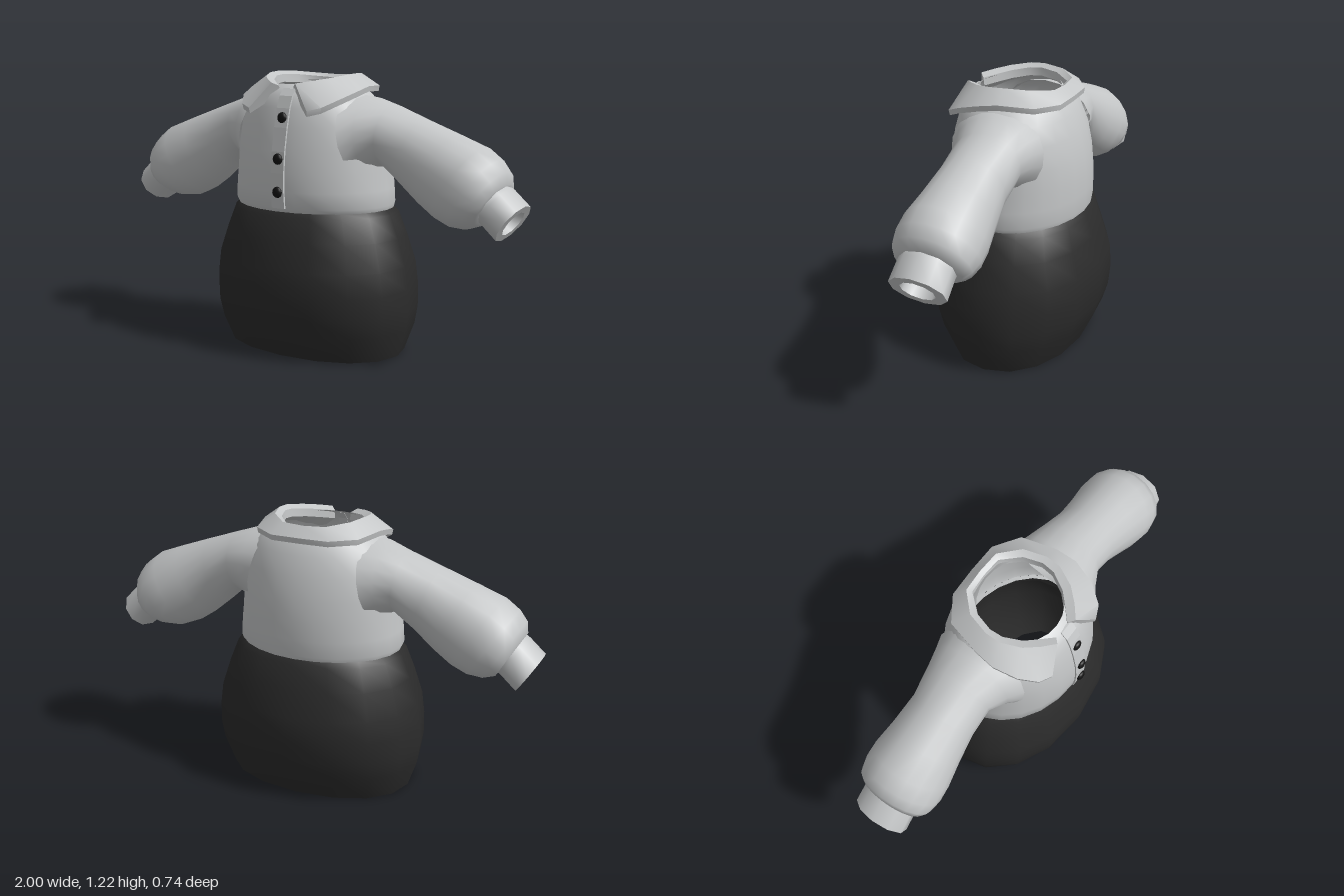
import * as THREE from 'three';
import { toCreasedNormals } from 'three/addons/utils/BufferGeometryUtils.js';

const V = (x, y, z) => new THREE.Vector3(x, y, z);

// Skin a list of closed rings; flip reverses the facing
function loft(rings, flip = false, crease = 0) {
  const n = rings[0].length, pos = [], idx = [];
  rings.forEach(r => r.forEach(p => pos.push(p.x, p.y, p.z)));
  for (let i = 0; i < rings.length - 1; i++) {
    for (let j = 0; j < n; j++) {
      const a = i * n + j, b = i * n + (j + 1) % n, c = a + n, d = b + n;
      if (flip) idx.push(a, c, b, b, c, d);
      else idx.push(a, b, c, b, d, c);
    }
  }
  const g = new THREE.BufferGeometry();
  g.setAttribute('position', new THREE.Float32BufferAttribute(pos, 3));
  g.setIndex(idx);
  g.computeVertexNormals();
  return crease ? toCreasedNormals(g, crease) : g;
}

// Horizontal oval ring with separate front and back depth
function oval(y, rx, front, back, n, power = 2) {
  const pts = [];
  for (let j = 0; j < n; j++) {
    const t = j / n * Math.PI * 2, s = Math.sin(t), c = Math.cos(t);
    const e = 2 / power;
    pts.push(V(Math.sign(s) * Math.abs(s) ** e * rx, y,
      Math.sign(c) * Math.abs(c) ** e * (c > 0 ? front : back)));
  }
  return pts;
}

// Sleeve ring spanning a top point and a bottom point, with half depth hz
function band([tx, ty, bx, by, hz, cz = -0.005], side, n) {
  const pts = [];
  for (let j = 0; j < n; j++) {
    const t = j / n * Math.PI * 2, k = Math.cos(t) / 2;
    pts.push(V(side * ((tx + bx) / 2 + (tx - bx) * k),
      (ty + by) / 2 + (ty - by) * k, cz + hz * Math.sin(t)));
  }
  return pts;
}

export function createModel() {
  const group = new THREE.Group();
  const make = (name, color) => {
    const m = new THREE.MeshStandardMaterial({ color, side: THREE.DoubleSide });
    m.name = name;
    return m;
  };
  const blouseCloth = make('blouse cloth', 0xc4c6c7);
  const skirtCloth = make('skirt cloth', 0x2b2b2b);
  const buttonBlack = make('button black', 0x121212);
  const add = (name, geo, mat) => {
    const m = new THREE.Mesh(geo, mat);
    m.name = name;
    group.add(m);
    return m;
  };

  // Barrel skirt: inner wall down, flat hem, outer wall up
  add('skirt', loft([
    [0.63, 0.34, 0.265], [0.35, 0.41, 0.31], [0.12, 0.38, 0.25], [0, 0.35, 0.205],
    [0, 0.43, 0.278], [0.12, 0.47, 0.335], [0.2, 0.48, 0.36], [0.3, 0.477, 0.371],
    [0.4, 0.463, 0.367], [0.52, 0.425, 0.328], [0.62, 0.385, 0.298], [0.643, 0.362, 0.28],
  ].map(([y, rx, rz]) => oval(y, rx, rz, rz, 16, 2.15)), false, 0.75), skirtCloth);

  // Bodice: hem lip, chest, shoulders, neck opening
  const bodice = [
    [0.645, 0.35, 0.275, 0.265], [0.642, 0.37, 0.298, 0.284], [0.66, 0.376, 0.31, 0.288],
    [0.73, 0.37, 0.316, 0.29], [0.81, 0.36, 0.316, 0.289], [0.9, 0.355, 0.308, 0.28],
    [1.0, 0.343, 0.29, 0.258], [1.08, 0.31, 0.27, 0.228], [1.13, 0.26, 0.25, 0.2],
    [1.16, 0.21, 0.222, 0.172], [1.175, 0.18, 0.195, 0.152],
  ];
  add('bodice', loft(bodice.map(([y, rx, f, b]) => oval(y, rx, f, b, 24)), false, 0.9), blouseCloth);

  // Button placket: thin strip following the chest
  const placket = new THREE.Shape();
  const front = bodice.slice(2, -1);
  front.forEach(([y, , f], i) => i ? placket.lineTo(-f - 0.005, y) : placket.moveTo(-f - 0.005, y));
  [...front].reverse().forEach(([y, , f]) => placket.lineTo(-f + 0.004, y));
  const strip = new THREE.ExtrudeGeometry(placket, { depth: 0.065, bevelEnabled: false });
  strip.rotateY(Math.PI / 2);
  add('placket', strip, blouseCloth).position.x = -0.01;

  // Buttons
  [[1.04, 0.284], [0.87, 0.318], [0.73, 0.323]].forEach(([y, z]) => {
    const b = add('button', new THREE.SphereGeometry(0.024, 12, 8), buttonBlack);
    b.scale.z = 0.6;
    b.position.set(0.025, y, z);
  });

  // Puffed sleeves and cuffs, mirrored
  const sleeve = [
    [0.22, 1.135, 0.29, 0.78, 0.215, 0.01], [0.3, 1.122, 0.32, 0.81, 0.185, 0],
    [0.4, 1.09, 0.37, 0.835, 0.155, -0.01], [0.55, 1.038, 0.45, 0.765, 0.146],
    [0.7, 0.985, 0.54, 0.69, 0.16], [0.82, 0.94, 0.62, 0.636, 0.177],
    [0.88, 0.895, 0.69, 0.607, 0.18], [0.913, 0.85, 0.76, 0.603, 0.17],
    [0.918, 0.8, 0.815, 0.622, 0.145], [0.905, 0.775, 0.835, 0.655, 0.1],
  ];
  const cuff = [
    [0.905, 0.8, 0.81, 0.645, 0.122], [0.93, 0.785, 0.835, 0.628, 0.122],
    [1.0, 0.722, 0.9, 0.57, 0.124], [0.982, 0.695, 0.918, 0.597, 0.076],
    [0.92, 0.737, 0.856, 0.639, 0.07], [0.888, 0.688, 0.888, 0.688, 0.001],
  ];
  for (const side of [1, -1]) {
    const label = side > 0 ? 'left' : 'right';
    add(label + 'Sleeve', loft(sleeve.map(r => band(r, side, 18)), side < 0), blouseCloth);
    add(label + 'Cuff', loft(cuff.map(r => band(r, side, 10)), side < 0, 0.8), blouseCloth);
  }

  // Pointed collar: crest and outer edge from the back centre to the front tip
  const half = [
    [0, 1.196, -0.172, 0, 1.157, -0.226], [0.09, 1.2, -0.165, 0.13, 1.157, -0.222],
    [0.16, 1.21, -0.085, 0.235, 1.16, -0.15], [0.185, 1.214, 0, 0.274, 1.166, 0],
    [0.18, 1.21, 0.06, 0.282, 1.152, 0.09], [0.14, 1.198, 0.135, 0.255, 1.122, 0.19],
    [0.09, 1.188, 0.185, 0.205, 1.088, 0.262], [0.04, 1.178, 0.232, 0.15, 1.074, 0.287],
  ];
  const section = ([ix, iy, iz, ox, oy, oz], s) => [
    V(s * ix * 0.93, iy - 0.045, iz * 0.93), V(s * ix * 0.95, iy - 0.01, iz * 0.95),
    V(s * (ix * 0.8 + ox * 0.2), iy + 0.004, iz * 0.8 + oz * 0.2),
    V(s * ox, oy, oz), V(s * ox * 0.985, oy - 0.024, oz * 0.985),
  ];
  const stations = [
    ...half.slice(1).reverse().map(r => section(r, -1)),
    ...half.map(r => section(r, 1)),
  ];
  const cap = ring => {
    const c = V(0, 0, 0);
    ring.forEach(p => c.addScaledVector(p, 1 / ring.length));
    return ring.map(() => c);
  };
  add('collar', loft([cap(stations[0]), ...stations, cap(stations[stations.length - 1])], true, 0.8), blouseCloth);

  return group;
}
